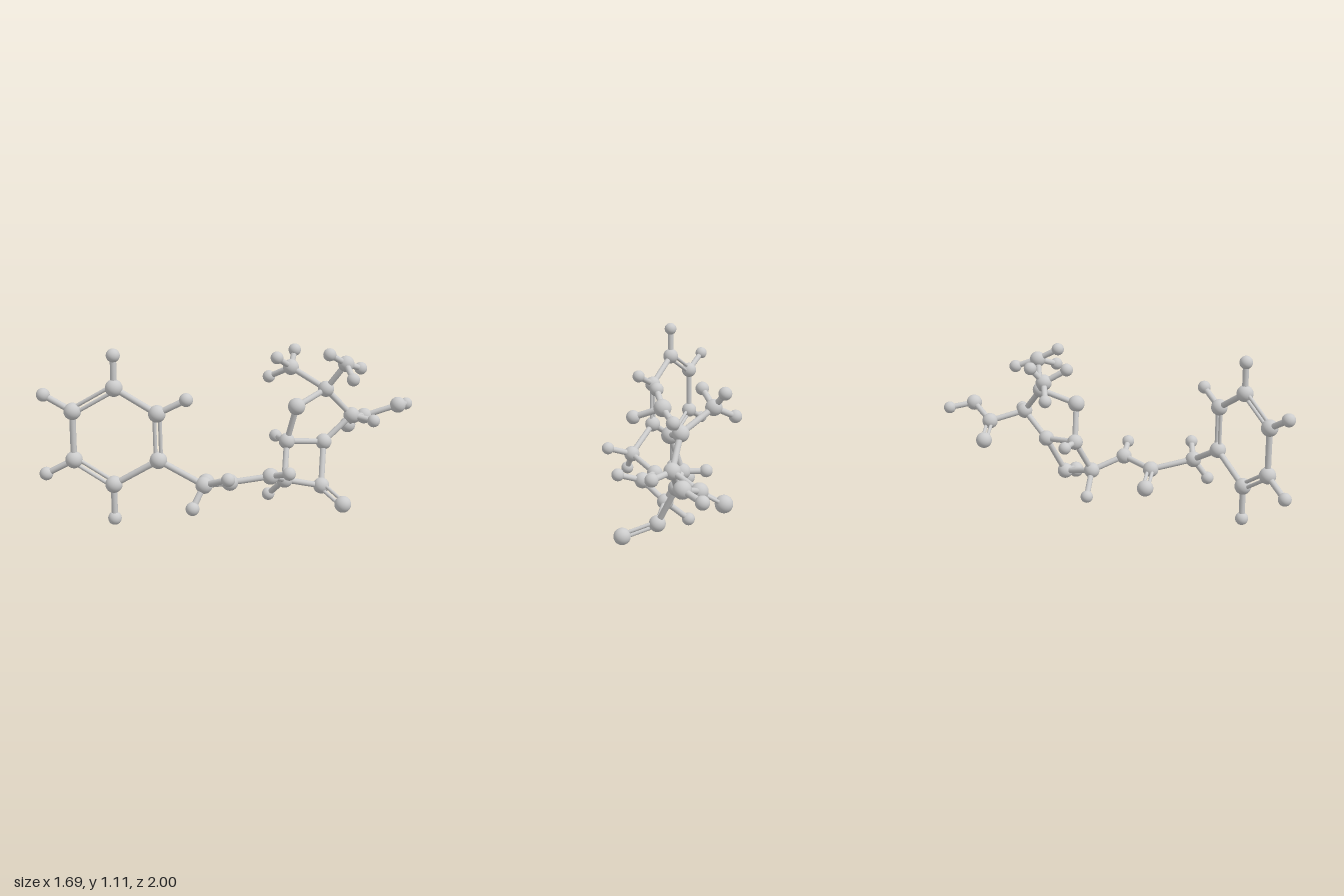
import * as THREE from 'three';

const RADIUS = { C: 0.052, N: 0.052, O: 0.053, S: 0.055, H: 0.041 };
const ELEMENT = { C: 'carbon', N: 'nitrogen', O: 'oxygen', S: 'sulfur', H: 'hydrogen' };

// Atom centres; the first letter of each key is the element
const FRAGMENTS = {
  phenylRing: {
    C1: [-0.16, 0.44, 0.71], C2: [-0.165, 0.725, 0.71], C3: [-0.4, 0.875, 0.805],
    C4: [-0.64, 0.725, 0.895], C5: [-0.64, 0.425, 0.895], C6: [-0.415, 0.28, 0.81],
    H2: [0, 0.815, 0.65], H3: [-0.4, 1.07, 0.805], H4: [-0.805, 0.82, 0.955],
    H5: [-0.805, 0.33, 0.955], H6: [-0.415, 0.065, 0.81],
  },
  amideLinker: {
    C7: [0.095, 0.296, 0.613], H7a: [0.273, 0.363, 0.64], H7b: [0.068, 0.17, 0.705],
    C8: [0.117, 0.234, 0.33], O8: [-0.095, 0.181, 0.253],
    N9: [0.326, 0.264, 0.187], H9: [0.479, 0.318, 0.243],
  },
  fourRing: {
    C10: [0.316, 0.177, -0.035], H10: [0.173, 0.043, -0.09],
    C11: [0.502, 0.12, -0.193], O11: [0.696, 0.055, -0.093],
    N12: [0.455, 0.375, -0.325], C13: [0.273, 0.397, -0.153], H13: [0.15, 0.397, -0.237],
  },
  sulfurRing: {
    S14: [0.349, 0.64, -0.132], C15: [0.45, 0.718, -0.36],
    C16: [0.592, 0.538, -0.457], H16: [0.745, 0.517, -0.46],
  },
  acidGroup: {
    C17: [0.585, 0.477, -0.695], O17: [0.447, 0.385, -0.747],
    O18: [0.787, 0.555, -0.79], H18: [0.785, 0.526, -0.96],
  },
  methylA: {
    C19: [0.197, 0.835, -0.363], H19a: [0.182, 0.934, -0.45],
    H19b: [0.166, 0.92, -0.218], H19c: [0.032, 0.753, -0.373],
  },
  methylB: {
    C20: [0.585, 0.896, -0.362], H20a: [0.526, 0.973, -0.232],
    H20b: [0.693, 0.832, -0.223], H20c: [0.626, 0.843, -0.51],
  },
};

// Single bonds, written as chains of neighbouring atoms
const CHAINS = [
  'C2-C3', 'C4-C5', 'C6-C1', 'C2-H2', 'C3-H3', 'C4-H4', 'C5-H5', 'C6-H6',
  'C1-C7-C8-N9-C10', 'H7a-C7-H7b', 'N9-H9',
  'C10-C11-N12-C13-C10-H10', 'H13-C13-S14-C15-C16-N12', 'H16-C16-C17-O18-H18',
  'C15-C19-H19a', 'H19b-C19-H19c', 'C15-C20-H20a', 'H20b-C20-H20c',
];

// Double bonds; the third atom fixes the plane the two rods lie in
const DOUBLES = ['C1-C2-C3', 'C3-C4-C5', 'C5-C6-C1', 'C8-O8-N9', 'C11-O11-N12', 'C17-O17-O18'];

const UP = new THREE.Vector3(0, 1, 0);

export function createModel() {
  const model = new THREE.Group();
  model.name = 'molecule';
  const material = new THREE.MeshStandardMaterial({ color: 0xcccccc });
  const ball = new THREE.SphereGeometry(1, 32, 20);
  const rod = new THREE.CylinderGeometry(1, 1, 1, 20, 1, true);
  const at = {};

  // Atoms
  for (const [fragment, atoms] of Object.entries(FRAGMENTS)) {
    const group = new THREE.Group();
    group.name = fragment;
    for (const [key, p] of Object.entries(atoms)) {
      at[key] = new THREE.Vector3(...p);
      const mesh = new THREE.Mesh(ball, material);
      mesh.name = ELEMENT[key[0]] + 'Atom';
      mesh.position.copy(at[key]);
      mesh.scale.setScalar(RADIUS[key[0]]);
      group.add(mesh);
    }
    model.add(group);
  }

  const bonds = new THREE.Group();
  bonds.name = 'bonds';
  model.add(bonds);

  const addRod = (a, b, radius, name, offset = new THREE.Vector3()) => {
    const axis = b.clone().sub(a);
    const mesh = new THREE.Mesh(rod, material);
    mesh.name = name;
    mesh.position.copy(a).add(b).multiplyScalar(0.5).add(offset);
    mesh.scale.set(radius, axis.length(), radius);
    mesh.quaternion.setFromUnitVectors(UP, axis.normalize());
    bonds.add(mesh);
  };

  // Single bonds
  for (const chain of CHAINS) {
    const points = chain.split('-').map((key) => at[key]);
    for (let i = 1; i < points.length; i++) {
      addRod(points[i - 1], points[i], 0.019, 'singleBond');
    }
  }

  // Double bonds: two thin parallel rods
  for (const triple of DOUBLES) {
    const [a, b, c] = triple.split('-').map((key) => at[key]);
    const axis = b.clone().sub(a).normalize();
    const side = c.clone().sub(a);
    side.addScaledVector(axis, -side.dot(axis)).normalize();
    for (const s of [-1, 1]) {
      addRod(a, b, 0.0115, 'doubleBondRod', side.clone().multiplyScalar(s * 0.0165));
    }
  }
  return model;
}
